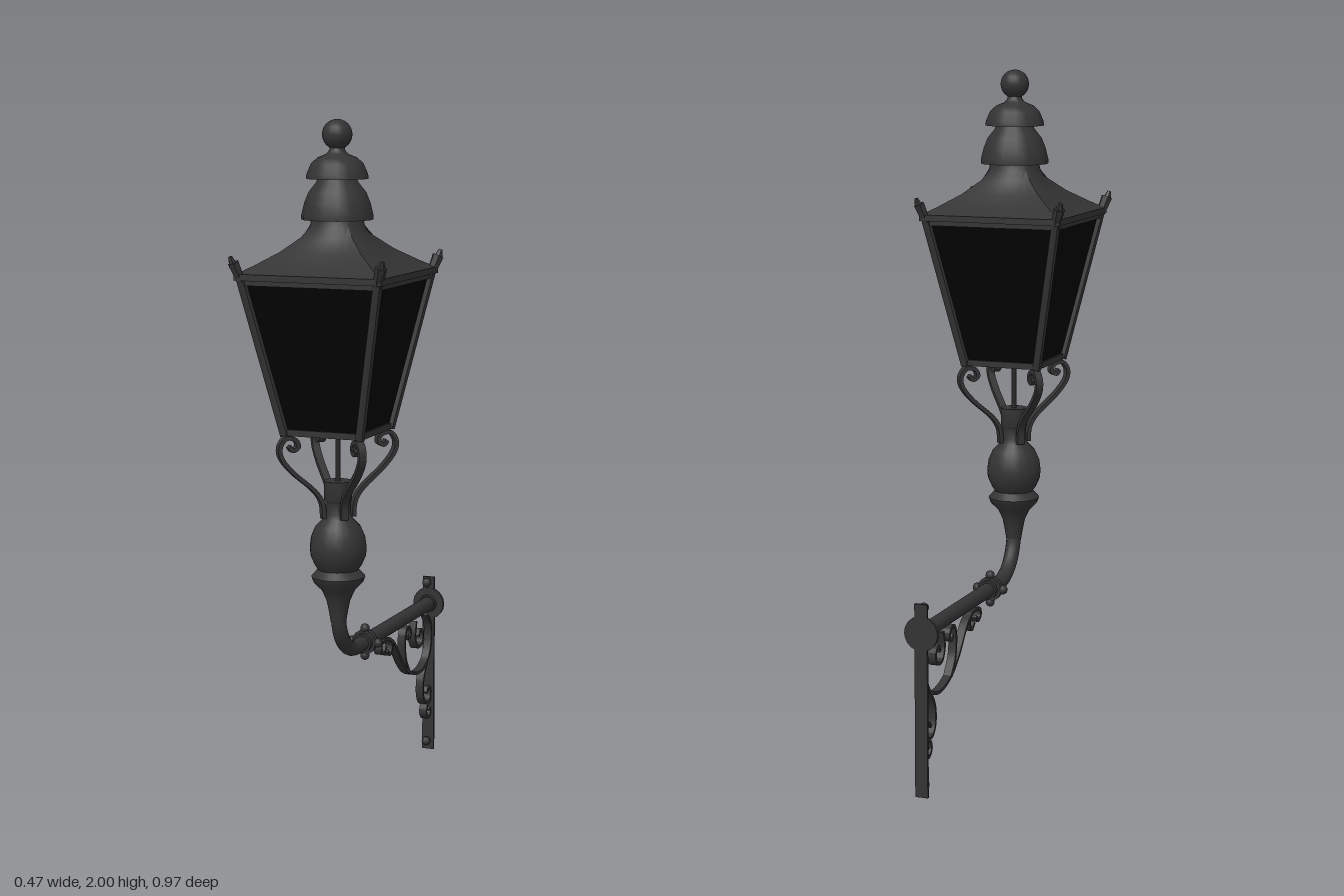
import * as THREE from 'three';
import { toCreasedNormals } from 'three/addons/utils/BufferGeometryUtils.js';

const iron = new THREE.MeshStandardMaterial({ color: 0x333333 });
const glass = new THREE.MeshStandardMaterial({ color: 0x030303 });
iron.name = 'dark iron';
glass.name = 'black glass';

const ARM_Y = 0.475, WALL_Z = -0.48, LAMP_Z = 0.255;

function add(parent, name, geometry, x = 0, y = 0, z = 0, material = iron) {
  const mesh = new THREE.Mesh(geometry, material);
  mesh.name = name;
  mesh.position.set(x, y, z);
  parent.add(mesh);
  return mesh;
}

// Straight tapered bar between two points
function bar(parent, name, a, b, r0, r1 = r0, sides = 8) {
  const from = new THREE.Vector3(...a), to = new THREE.Vector3(...b);
  const dir = to.clone().sub(from);
  const g = toCreasedNormals(new THREE.CylinderGeometry(r1, r0, dir.length(), sides), 0.9);
  const mesh = add(parent, name, g);
  mesh.position.copy(from).add(to).multiplyScalar(0.5);
  mesh.quaternion.setFromUnitVectors(new THREE.Vector3(0, 1, 0), dir.normalize());
  return mesh;
}

const lathe = (pts, sides) => toCreasedNormals(
  new THREE.LatheGeometry(pts.map(p => new THREE.Vector2(...p)), sides), 0.7);

// Flat iron strip bent along a 2D path, extruded to the given width
function strip(path, thick, width) {
  const curve = new THREE.SplineCurve(path.map(p => new THREE.Vector2(...p)));
  const left = [], right = [], n = path.length * 6;
  for (let i = 0; i <= n; i++) {
    const p = curve.getPoint(i / n), t = curve.getTangent(i / n);
    const o = new THREE.Vector2(-t.y, t.x).multiplyScalar(thick / 2);
    left.push(p.clone().add(o));
    right.unshift(p.clone().sub(o));
  }
  const g = new THREE.ExtrudeGeometry(new THREE.Shape([...left, ...right]), { depth: width, bevelEnabled: false });
  g.translate(0, 0, -width / 2);
  return toCreasedNormals(g, 0.7);
}

// Concave roof whose square eave blends into a round neck: [half width, y, roundness]
function roofGeometry(sections) {
  const N = 32, pos = [], idx = [];
  for (const [half, y, round] of sections) {
    for (let j = 0; j < N; j++) {
      const a = (j / N) * Math.PI * 2, c = Math.cos(a), s = Math.sin(a);
      const square = half / Math.max(Math.abs(c), Math.abs(s));
      const r = square + (half - square) * round;
      pos.push(r * c, y, r * s);
    }
  }
  for (let i = 0; i < sections.length - 1; i++) {
    for (let j = 0; j < N; j++) {
      const a = i * N + j, b = i * N + (j + 1) % N;
      idx.push(a, a + N, b, b, a + N, b + N);
    }
  }
  const g = new THREE.BufferGeometry();
  g.setAttribute('position', new THREE.Float32BufferAttribute(pos, 3));
  g.setIndex(idx);
  return toCreasedNormals(g, 0.5);
}

function buildBracket(root) {
  const bracket = new THREE.Group();
  bracket.name = 'wallBracket';
  root.add(bracket);

  // Wall plate, flange and bolts
  add(bracket, 'wallPlate', new THREE.BoxGeometry(0.038, 0.56, 0.008), 0, 0.28, WALL_Z + 0.004);
  bar(bracket, 'wallFlange', [0, ARM_Y, WALL_Z], [0, ARM_Y, WALL_Z + 0.01], 0.05, 0.05, 20);
  bar(bracket, 'flangeCollar', [0, ARM_Y, WALL_Z], [0, ARM_Y, WALL_Z + 0.02], 0.03, 0.026, 16);
  for (const y of [0.03, 0.545]) {
    bar(bracket, 'boltShank', [0, y, WALL_Z], [0, y, WALL_Z + 0.02], 0.009);
    add(bracket, 'boltHead', new THREE.SphereGeometry(0.014, 12, 8), 0, y, WALL_Z + 0.024);
  }

  // Arm with its upturned elbow
  const R = 0.13, arm = new THREE.CurvePath();
  const v = (y, z) => new THREE.Vector3(0, y, z);
  const k = R * 0.552, zc = LAMP_Z - R;
  arm.add(new THREE.LineCurve3(v(ARM_Y, WALL_Z), v(ARM_Y, zc)));
  arm.add(new THREE.CubicBezierCurve3(v(ARM_Y, zc), v(ARM_Y, zc + k), v(ARM_Y + R - k, LAMP_Z), v(ARM_Y + R, LAMP_Z)));
  add(bracket, 'arm', new THREE.TubeGeometry(arm, 60, 0.022, 14));

  // Clamp with four knobs
  bar(bracket, 'armClamp', [0, ARM_Y, 0.03], [0, ARM_Y, 0.08], 0.028, 0.028, 16);
  bar(bracket, 'clampRing', [0, ARM_Y, 0.045], [0, ARM_Y, 0.065], 0.037, 0.037, 16);
  for (let i = 0; i < 4; i++) {
    const a = i * Math.PI / 2;
    add(bracket, 'clampKnob', new THREE.SphereGeometry(0.014, 10, 8),
      0.041 * Math.cos(a), ARM_Y + 0.041 * Math.sin(a), 0.055);
  }

  // Scrollwork below the arm, as [z, y] paths
  const scrolls = {
    mainScroll: [[-0.087, 0.426], [-0.071, 0.41], [-0.05, 0.42], [-0.056, 0.442], [-0.098, 0.447], [-0.156, 0.42],
      [-0.22, 0.347], [-0.283, 0.299], [-0.368, 0.278], [-0.437, 0.299], [-0.468, 0.352], [-0.468, 0.405], [-0.437, 0.447]],
    frontCurl: [[-0.098, 0.412], [-0.12, 0.395], [-0.137, 0.415], [-0.125, 0.44], [-0.1, 0.447]],
    middleCurl: [[-0.267, 0.42], [-0.278, 0.405], [-0.293, 0.42], [-0.283, 0.44], [-0.257, 0.442], [-0.243, 0.41],
      [-0.25, 0.35], [-0.283, 0.3]],
    rearCurl: [[-0.341, 0.447], [-0.33, 0.4], [-0.352, 0.363], [-0.39, 0.368], [-0.396, 0.4], [-0.373, 0.412], [-0.362, 0.395]],
    lowerScroll: [[-0.437, 0.297], [-0.405, 0.25], [-0.4, 0.2], [-0.42, 0.167], [-0.455, 0.165], [-0.465, 0.195],
      [-0.447, 0.21], [-0.432, 0.195]],
    lowerCurl: [[-0.468, 0.165], [-0.44, 0.155], [-0.43, 0.13], [-0.45, 0.11], [-0.465, 0.13], [-0.452, 0.14]],
  };
  for (const [name, path] of Object.entries(scrolls)) {
    add(bracket, name, strip(path, 0.009, 0.024).rotateY(-Math.PI / 2));
  }
}

function buildLantern(root) {
  const lantern = new THREE.Group();
  lantern.name = 'lantern';
  lantern.position.z = LAMP_Z;
  root.add(lantern);

  // Turned post, socket and feed rod
  add(lantern, 'post', lathe([[0.022, 0.58], [0.027, 0.61], [0.034, 0.645], [0.048, 0.675], [0.072, 0.7], [0.077, 0.715],
    [0.058, 0.735], [0.068, 0.75], [0.079, 0.775], [0.081, 0.8], [0.077, 0.83], [0.064, 0.86], [0.042, 0.882],
    [0.036, 0.895], [0.036, 0.93], [0.04, 0.935], [0.04, 0.99], [0, 0.99]], 20));
  bar(lantern, 'feedRod', [0, 0.98, 0], [0, 1.14, 0], 0.008);

  // Tapered glass
  const glassGeo = new THREE.CylinderGeometry(0.2 * Math.SQRT2, 0.112 * Math.SQRT2, 0.435, 4)
    .rotateY(Math.PI / 4).toNonIndexed();
  glassGeo.computeVertexNormals();
  add(lantern, 'glass', glassGeo, 0, 1.3525, 0, glass);

  // Frame: four mirrored sides, corner posts, horns and supporting scrolls
  const support = strip([[0.045, 0.885], [0.05, 0.93], [0.075, 0.968], [0.135, 1.02], [0.17, 1.062], [0.176, 1.095],
    [0.158, 1.12], [0.13, 1.115], [0.122, 1.095], [0.138, 1.085], [0.148, 1.097]], 0.012, 0.022);
  for (let i = 0; i < 4; i++) {
    const side = new THREE.Group();
    side.name = 'lanternSide';
    side.rotation.y = i * Math.PI / 2;
    lantern.add(side);
    add(side, 'bottomRail', new THREE.BoxGeometry(0.24, 0.018, 0.02), 0, 1.138, 0.11);
    add(side, 'topRail', new THREE.BoxGeometry(0.41, 0.014, 0.012), 0, 1.559, 0.2);
    bar(side, 'cornerPost', [0.113, 1.13, 0.113], [0.203, 1.575, 0.203], 0.014, 0.014, 8);
    bar(side, 'cornerHorn', [0.2, 1.56, 0.2], [0.217, 1.615, 0.217], 0.013, 0.017, 6);
    bar(side, 'hornTip', [0.216, 1.605, 0.216], [0.223, 1.632, 0.223], 0.014, 0.006, 6);
    add(side, 'supportScroll', support).rotation.y = Math.PI / 4;
  }

  // Roof, tiered vents and finial
  add(lantern, 'eave', new THREE.BoxGeometry(0.434, 0.018, 0.434), 0, 1.575, 0);
  add(lantern, 'roof', roofGeometry([[0.215, 1.582, 0], [0.175, 1.605, 0], [0.125, 1.64, 0.12],
    [0.09, 1.678, 0.5], [0.075, 1.71, 0.9], [0.07, 1.735, 1]]));
  add(lantern, 'lowerVent', lathe([[0, 1.725], [0.1, 1.725], [0.1, 1.737], [0.092, 1.77], [0.08, 1.8], [0.06, 1.825],
    [0.05, 1.845]], 16));
  add(lantern, 'upperVent', lathe([[0, 1.837], [0.087, 1.837], [0.085, 1.85], [0.073, 1.878], [0.055, 1.895],
    [0.03, 1.905], [0.022, 1.915], [0.02, 1.935]], 16));
  add(lantern, 'finialBall', new THREE.SphereGeometry(0.042, 16, 12), 0, 1.958, 0);
}

export function createModel() {
  const model = new THREE.Group();
  model.name = 'wallLantern';
  buildBracket(model);
  buildLantern(model);
  return model;
}
